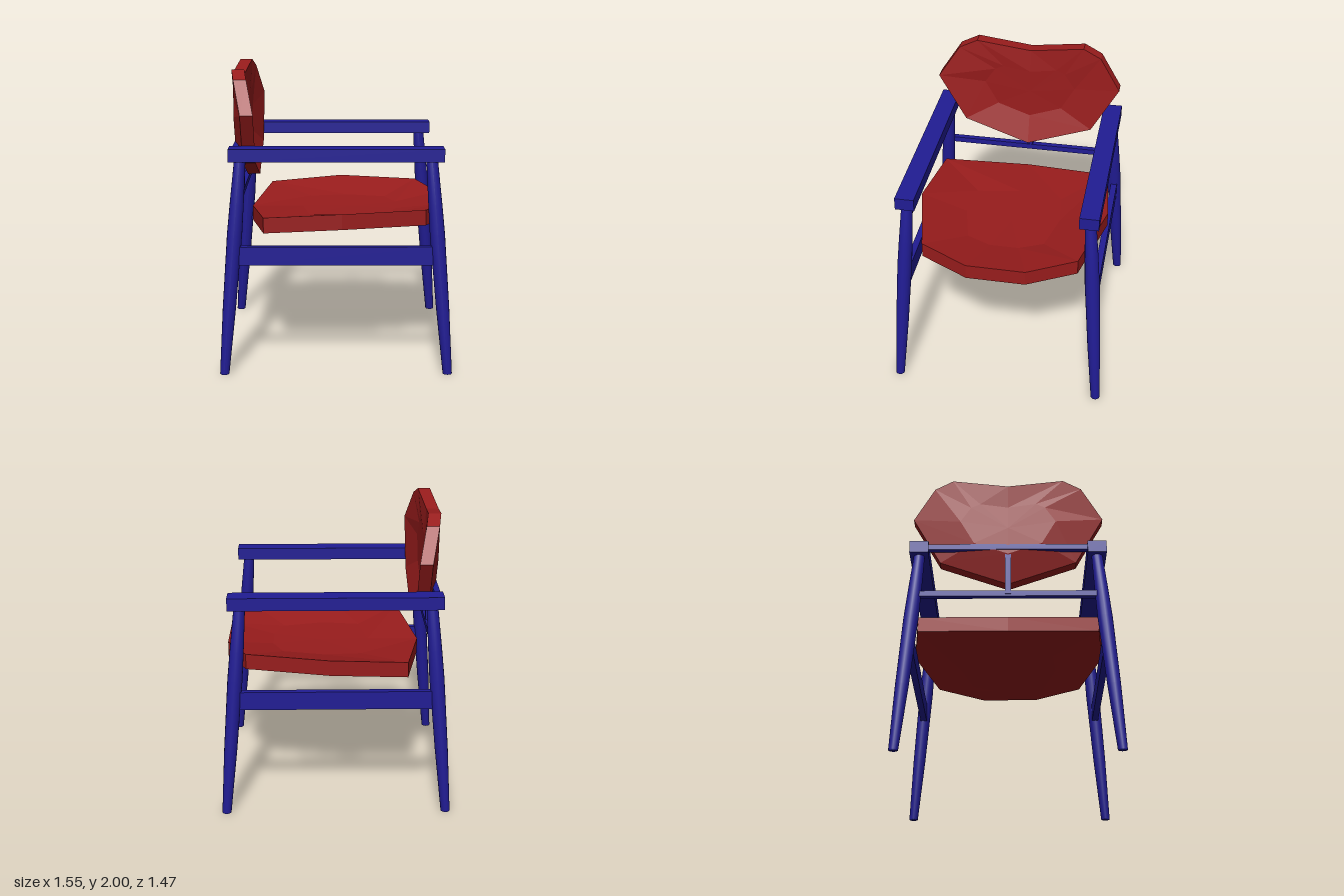
import * as THREE from 'three';

const BLUE = 0x211c94, RED = 0x981c1c;
const V = (x, y, z) => new THREE.Vector3(x, y, z);

function add(group, name, geometry, color, flatShading = true) {
  const mesh = new THREE.Mesh(geometry, new THREE.MeshStandardMaterial({ color, flatShading }));
  mesh.name = name;
  group.add(mesh);
  return mesh;
}

// Box given by its extents on each axis
function bar(group, name, [x0, x1], [y0, y1], [z0, z1]) {
  add(group, name, new THREE.BoxGeometry(x1 - x0, y1 - y0, z1 - z0), BLUE)
    .position.set((x0 + x1) / 2, (y0 + y1) / 2, (z0 + z1) / 2);
}

// Dished slab: rim (counter-clockwise from its face), hollow centre, thickness vector.
// The inner ring is halfway to the centre but already near full depth.
function dishedSlab(rim, centre, offset, depthAxis) {
  const inner = rim.map((p) => {
    const q = p.clone().lerp(centre, 0.5);
    q[depthAxis] = THREE.MathUtils.lerp(p[depthAxis], centre[depthAxis], 0.9);
    return q;
  });
  const out = [];
  const tri = (...pts) => pts.forEach((p) => out.push(p.x, p.y, p.z));
  const back = (p) => p.clone().add(offset);
  const face = (a, b, c) => {
    tri(a, b, c);
    tri(back(a), back(c), back(b));
  };
  rim.forEach((a, i) => {
    const j = (i + 1) % rim.length, b = rim[j];
    face(centre, inner[i], inner[j]);
    face(inner[i], a, b);
    face(inner[i], b, inner[j]);
    tri(a, back(a), back(b));
    tri(a, back(b), b);
  });
  const g = new THREE.BufferGeometry();
  g.setAttribute('position', new THREE.Float32BufferAttribute(out, 3));
  g.computeVertexNormals();
  return g;
}

// Completes a half outline (z <= 0) with its mirror image, skipping points on the axis
const mirrorZ = (half) => [
  ...half,
  ...half.filter((p) => p.z !== 0).reverse().map((p) => V(p.x, p.y, -p.z)),
];

export function createModel() {
  const chair = new THREE.Group();
  chair.name = 'armchair';

  // Splayed spindle legs
  const profile = [[0, 0], [0.031, 0], [0.044, 0.45], [0.05, 0.95], [0.046, 1.15], [0.037, 1.45], [0, 1.45]]
    .map(([r, y]) => new THREE.Vector2(r, y));
  for (const sx of [1, -1]) {
    for (const sz of [1, -1]) {
      const leg = new THREE.LatheGeometry(profile, 16);
      const p = leg.attributes.position;
      for (let i = 0; i < p.count; i++) {
        const t = p.getY(i) / 1.45;
        p.setX(i, p.getX(i) + sx * (0.746 - 0.12 * t));
        p.setZ(i, p.getZ(i) + sz * (0.706 - 0.104 * t));
      }
      leg.computeVertexNormals();
      add(chair, `${sx > 0 ? 'front' : 'back'}Leg`, leg, BLUE, false);
    }
  }

  // Armrests and side stretchers
  for (const s of [1, -1]) {
    const span = (a, b) => (s > 0 ? [a, b] : [-b, -a]);
    bar(chair, 'armrest', [-0.7, 0.705], [1.43, 1.515], span(0.537, 0.665));
    bar(chair, 'sideStretcher', [-0.67, 0.67], [0.74, 0.865], span(0.625, 0.67));
  }

  // Back rails and the strut holding the backrest
  bar(chair, 'lowerBackRail', [-0.68, -0.64], [1.105, 1.145], [-0.61, 0.61]);
  bar(chair, 'upperBackRail', [-0.69, -0.65], [1.455, 1.495], [-0.55, 0.55]);
  bar(chair, 'backStrut', [-0.685, -0.645], [1.12, 1.475], [-0.02, 0.02]);

  // Dished seat
  const seatRim = mirrorZ([
    V(0.74, 1.053, -0.2), V(0.6, 1.083, -0.53), V(0.04, 1.085, -0.667),
    V(-0.48, 1.048, -0.61), V(-0.59, 0.995, 0),
  ]);
  add(chair, 'seat', dishedSlab(seatRim, V(0.12, 0.995, 0), V(0, -0.105, 0), 'y'), RED);

  // Curved backrest with a notched top
  const backRim = mirrorZ([
    V(-0.535, 1.225, 0), V(-0.535, 1.39, -0.46), V(-0.535, 1.73, -0.65),
    V(-0.585, 1.945, -0.505), V(-0.605, 2, -0.38), V(-0.63, 1.94, 0),
  ]);
  add(chair, 'backrest', dishedSlab(backRim, V(-0.61, 1.62, 0), V(-0.085, 0, 0), 'x'), RED);

  return chair;
}
